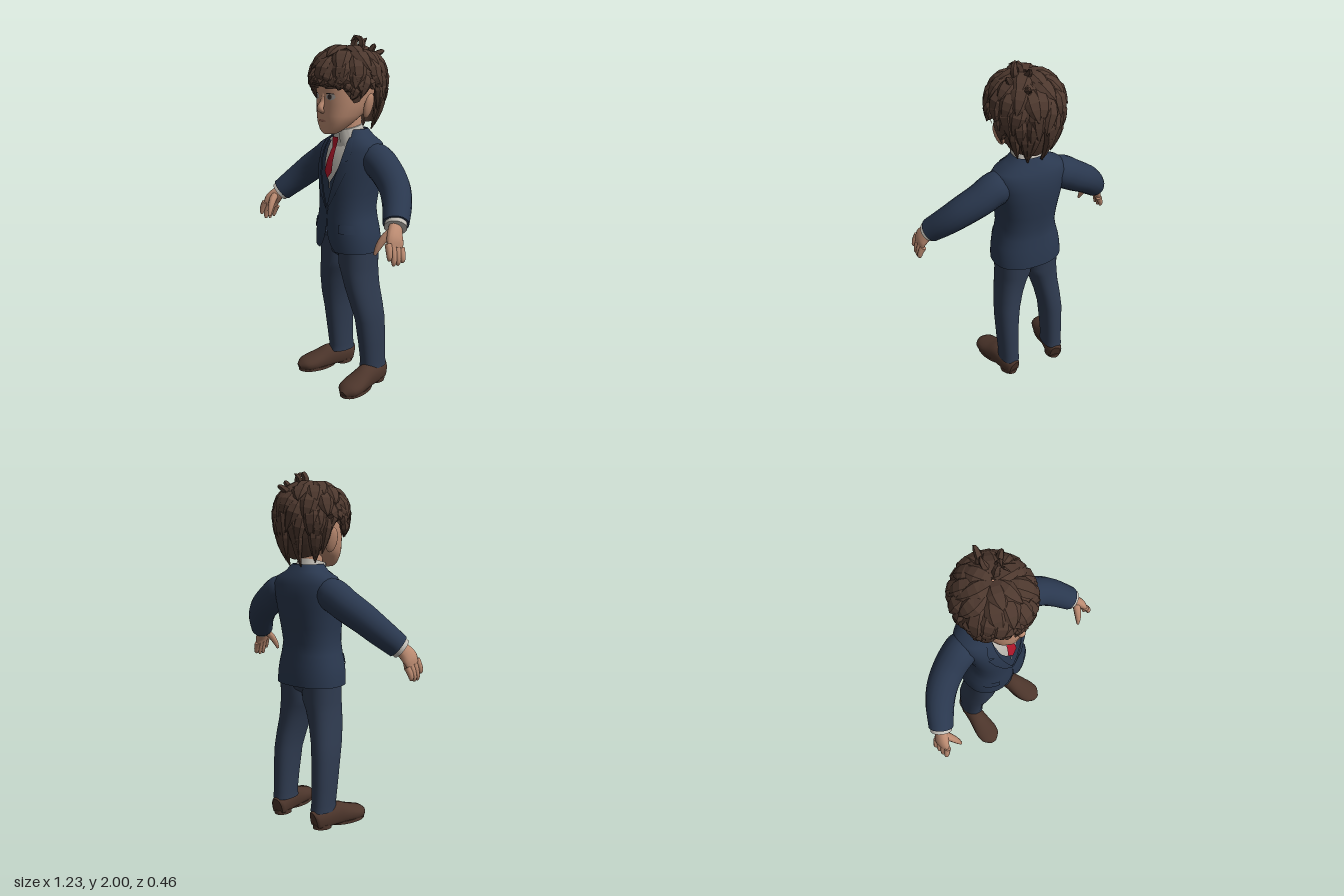
import * as THREE from 'three';
import { mergeGeometries } from 'three/addons/utils/BufferGeometryUtils.js';

const V = (x, y, z) => new THREE.Vector3(x, y, z);
const { lerp } = THREE.MathUtils;
const P = 0.85; // squareness of the body cross-sections

// Skin a list of point rings; rings run counter-clockwise about the loft direction
function grid(rings, closed = true, caps = true) {
  const n = rings[0].length, pos = [], idx = [];
  rings.forEach(r => r.forEach(p => pos.push(p.x, p.y, p.z)));
  for (let i = 0; i < rings.length - 1; i++)
    for (let j = 0; j < (closed ? n : n - 1); j++) {
      const k = (j + 1) % n, a = i * n + j, b = i * n + k;
      idx.push(a, b, a + n, b, b + n, a + n);
    }
  if (closed && caps) [rings[0], rings[rings.length - 1]].forEach((r, e) => {
    const base = pos.length / 3, c = V(0, 0, 0);
    r.forEach(p => { pos.push(p.x, p.y, p.z); c.addScaledVector(p, 1 / n); });
    pos.push(c.x, c.y, c.z);
    for (let j = 0; j < n; j++) {
      const a = base + j, b = base + (j + 1) % n;
      idx.push(base + n, e ? a : b, e ? b : a);
    }
  });
  const g = new THREE.BufferGeometry();
  g.setAttribute('position', new THREE.Float32BufferAttribute(pos, 3));
  g.setIndex(idx);
  g.computeVertexNormals();
  return g;
}

// Tapered elliptical tube along a smooth path; radii are [across, along hint]
function sweep(pts, radii, hint, sides = 14, steps = 14) {
  const path = new THREE.CatmullRomCurve3(pts.map(p => V(...p)));
  const size = new THREE.CatmullRomCurve3(radii.map(r => V(r[0], r[1] ?? r[0], 0)));
  const rings = [];
  for (let i = 0; i <= steps; i++) {
    const c = path.getPoint(i / steps), r = size.getPoint(i / steps), T = path.getTangent(i / steps);
    const h = typeof hint === 'function' ? hint(c) : V(...hint);
    const side = h.cross(T).normalize(), up = T.clone().cross(side), ring = [];
    for (let j = 0; j < sides; j++) {
      const a = j / sides * Math.PI * 2;
      ring.push(c.clone().addScaledVector(side, r.x * Math.cos(a)).addScaledVector(up, r.y * Math.sin(a)));
    }
    rings.push(ring);
  }
  return grid(rings);
}

// Interpolate a table by its first column
function at(rows, y) {
  let i = 0;
  while (i < rows.length - 2 && y > rows[i + 1][0]) i++;
  const a = rows[i], b = rows[i + 1], t = THREE.MathUtils.clamp((y - a[0]) / (b[0] - a[0]), 0, 1);
  return a.map((v, k) => lerp(v, b[k], t));
}

// Body rows are [y, half width, front z, back z, front opening, centre x]
function body(rows, grow = 0, open = false, n = 36) {
  return grid(rows.map(([y, rx, zf, zb, gap = 0, cx = 0]) => {
    const w = rx + grow, d = (zf - zb) / 2 + grow, ring = [];
    const a0 = Math.asin(Math.min(1, Math.pow(gap / w, 1 / P)));
    for (let j = 0; j < n; j++) {
      const a = open ? lerp(a0, Math.PI * 2 - a0, j / (n - 1)) : j / n * Math.PI * 2;
      const s = Math.sin(a), c = Math.cos(a);
      ring.push(V(cx + w * Math.sign(s) * Math.abs(s) ** P, y, (zf + zb) / 2 + d * Math.sign(c) * Math.abs(c) ** P));
    }
    return ring;
  }), !open);
}

// Thin plate lying on the front of a body; rows are [y, x0, x1] going up
function plate(rows, spec, off) {
  return grid(rows.map(([y, x0, x1]) => {
    const [, rx, zf, zb] = at(spec, y), ring = [];
    for (let j = 0; j <= 5; j++) {
      const x = lerp(x0, x1, j / 5), s = Math.min(1, Math.abs(x) / rx) ** (1 / P);
      ring.push(V(x, y, (zf + zb) / 2 + (zf - zb) / 2 * (1 - s * s) ** (P / 2) + off));
    }
    return ring;
  }), false);
}

// Elliptical plate rows
const oval = (x, y, rx, ry) => [-1, -0.7, -0.3, 0, 0.3, 0.7, 1].map(t => {
  const w = rx * Math.sqrt(1 - t * t);
  return [y + ry * t, x - w, x + w];
});

const JACKET = [
  [0.82, 0.207, 0.148, -0.17, 0.07], [0.85, 0.206, 0.15, -0.169, 0.042], [0.89, 0.203, 0.15, -0.167, 0.018], [0.94, 0.195, 0.149, -0.162, 0.003],
  [1.0, 0.178, 0.145, -0.155, 0.001], [1.06, 0.168, 0.14, -0.15, 0.001], [1.15, 0.175, 0.14, -0.165, 0.032],
  [1.25, 0.192, 0.133, -0.18, 0.065], [1.33, 0.203, 0.115, -0.185, 0.085], [1.39, 0.212, 0.09, -0.177, 0.09],
  [1.43, 0.192, 0.068, -0.162, 0.085], [1.46, 0.13, 0.05, -0.142, 0.08], [1.5, 0.088, 0.04, -0.118, 0.07]];
const COLLAR = [[1.38, 0.1, 0.075, -0.11], [1.44, 0.087, 0.066, -0.105], [1.515, 0.074, 0.05, -0.098]];
const HEAD = [
  [1.48, 0.035, 0.153, 0.085], [1.5, 0.067, 0.164, 0.05], [1.54, 0.103, 0.167, -0.005], [1.58, 0.122, 0.17, -0.065],
  [1.64, 0.14, 0.166, -0.12], [1.72, 0.148, 0.166, -0.15], [1.8, 0.145, 0.155, -0.15], [1.87, 0.11, 0.11, -0.12], [1.91, 0.04, 0.04, -0.05]];
const LEG = [
  [0.1, 0.06, 0.01, -0.158, 0, 0.152], [0.14, 0.057, 0.006, -0.153, 0, 0.152], [0.25, 0.061, 0.02, -0.15, 0, 0.152],
  [0.4, 0.066, 0.042, -0.145, 0, 0.149], [0.5, 0.071, 0.068, -0.135, 0, 0.137], [0.6, 0.079, 0.088, -0.125, 0, 0.117],
  [0.68, 0.09, 0.096, -0.125, 0, 0.1], [0.73, 0.101, 0.098, -0.128, 0, 0.086], [0.88, 0.105, 0.095, -0.135, 0, 0.083]];
// Hairline height by angle from the front, in degrees
const HAIRLINE = [[0, 1.75], [45, 1.725], [63, 1.65], [74, 1.66], [84, 1.73], [103, 1.72], [113, 1.59], [125, 1.55], [180, 1.525]];

// Point on the hair mass: az around the head, t from crown (0) to hairline (1)
function hairAt(az, t, s) {
  const deg = Math.abs(Math.atan2(Math.sin(az), Math.cos(az))) * 180 / Math.PI;
  const low = t > 0.5, dy = low ? (at(HAIRLINE, deg)[1] - 1.78) * (t - 0.5) * 2 : 0.165 * Math.cos(Math.PI * t) * s;
  const f = s * (low ? 1 - 0.34 * (dy / 0.26) ** 2 : Math.sin(Math.PI * t));
  return [0.2 * f * Math.sin(az), 1.78 + dy, -0.01 + 0.213 * f * Math.cos(az)];
}

function hairGeometry() {
  let seed = 7;
  const rnd = () => (seed = (seed * 16807) % 2147483647) / 2147483647;
  const normal = c => V(c.x, c.y - 1.74, c.z);
  const cap = [];
  for (let i = 0; i <= 14; i++) {
    const ring = [];
    for (let j = 0; j < 40; j++) ring.push(V(...hairAt(j / 40 * Math.PI * 2, 1 - i / 14 * 0.99, 0.94)));
    cap.push(ring);
  }
  const parts = [grid(cap, true, false)];
  // Overlapping layers of chunky locks: [count, start, end, width]
  [[6, 0.02, 0.3, 0.052], [9, 0.13, 0.44, 0.054], [12, 0.25, 0.6, 0.05], [14, 0.36, 0.76, 0.044], [18, 0.48, 0.9, 0.037], [24, 0.6, 1.04, 0.028]]
    .forEach(([n, t0, t1, w], layer) => {
      for (let i = 0; i < n; i++) {
        const az = (i + 0.5 * (layer % 2) + 0.5 * rnd()) / n * Math.PI * 2, turn = -0.3 + 0.5 * rnd();
        const end = t1 + 0.12 * (rnd() - 0.5), flick = 1.0 + 0.09 * rnd();
        const pts = [0.89, 0.965, 0.99, flick].map((s, k) => hairAt(az + turn * k / 3, lerp(t0, end, k / 3), s));
        parts.push(sweep(pts, [[w * 0.6, 0.014], [w, 0.023], [w * 0.8, 0.019], [0.003, 0.002]], normal, 6, 5));
      }
    });
  // Loose strands standing up at the crown
  [[[0.03, 1.92, -0.02], [0.035, 1.965, -0.02], [0.05, 1.99, -0.02], [0.07, 1.97, 0.03]],
   [[0.06, 1.92, -0.04], [0.075, 1.955, -0.04], [0.07, 1.985, -0.03], [0.05, 1.996, 0.0]],
   [[0.02, 1.9, -0.05], [0.02, 1.94, -0.075], [0.02, 1.97, -0.1], [0.03, 1.985, -0.115]],
   [[0.09, 1.88, -0.06], [0.11, 1.915, -0.07], [0.13, 1.945, -0.08], [0.135, 1.955, -0.08]],
   [[0.05, 1.87, -0.12], [0.06, 1.9, -0.16], [0.07, 1.915, -0.19], [0.07, 1.915, -0.205]]]
    .forEach(p => parts.push(sweep(p, [[0.024], [0.02], [0.014], [0.002]], [0.3, 0.1, 1], 5, 6)));
  const g = mergeGeometries(parts).toNonIndexed(); // separate faces give faceted locks
  g.computeVertexNormals();
  return g;
}

function shoeGeometry() {
  // Rows are [z, half width, height]
  const rows = [[-0.158, 0.032, 0.105], [-0.145, 0.045, 0.112], [-0.08, 0.054, 0.125], [0, 0.058, 0.13],
    [0.06, 0.066, 0.108], [0.12, 0.073, 0.088], [0.17, 0.064, 0.072], [0.207, 0.024, 0.042]];
  const g = sweep(rows.map(r => [0, r[2] / 2, r[0]]), rows.map(r => [r[1], r[2] / 2]), [0, 1, 0], 20, 20);
  const p = g.attributes.position;
  for (let i = 0; i < p.count; i++) { // straighten the side walls down to a flat bottom
    const x = p.getX(i), y = p.getY(i), row = at(rows, p.getZ(i));
    if (y < row[2] / 2 && Math.abs(x) > 0.005) p.setX(i, Math.sign(x) * lerp(Math.abs(x), row[1], 0.6));
    p.setY(i, Math.max(0.014, y));
  }
  g.computeVertexNormals();
  return g;
}

function soleGeometry(z0, z1, w, h) {
  const ring = y => Array.from({ length: 24 }, (_, j) => {
    const a = j / 24 * Math.PI * 2;
    return V(w * Math.sin(a) * (1 + 0.12 * Math.cos(a)), y, (z0 + z1) / 2 + (z1 - z0) / 2 * Math.cos(a));
  });
  return grid([ring(0), ring(h)]);
}

function mirrored(geo) {
  const g = geo.clone().scale(-1, 1, 1), ix = g.index.array;
  for (let i = 0; i < ix.length; i += 3) [ix[i], ix[i + 1]] = [ix[i + 1], ix[i]];
  g.computeVertexNormals();
  return g;
}

export function createModel() {
  const root = new THREE.Group();
  root.name = 'suitedFigure';
  const mats = {};
  Object.entries({ suit: 0x2a384f, trousers: 0x2f3b50, shirt: 0xc2beb6, tie: 0xb3172b, skin: 0xbd8c72,
    hair: 0x4d382e, shoeLeather: 0x4c352b, eyeWhite: 0xa9a09a, iris: 0x3a302e, lip: 0x9c6857 })
    .forEach(([name, color]) => {
      mats[name] = new THREE.MeshStandardMaterial({ color, side: THREE.DoubleSide });
      mats[name].name = name;
    });
  const add = (name, geo, mat) => {
    const m = new THREE.Mesh(geo, mats[mat]);
    m.name = name;
    root.add(m);
  };
  const pair = (name, geo, mat) => {
    add(name + 'Left', geo, mat);
    add(name + 'Right', mirrored(geo), mat);
  };

  // Head and face
  add('head', body(HEAD), 'skin');
  add('neck', body([[1.4, 0.065, 0.045, -0.085], [1.58, 0.062, 0.05, -0.08]]), 'skin');
  add('nose', sweep([[0, 1.705, 0.152], [0, 1.655, 0.166], [0, 1.618, 0.183], [0, 1.597, 0.165]],
    [[0.016, 0.013], [0.015, 0.012], [0.021, 0.017], [0.014, 0.008]], [0, 0, 1]), 'skin');
  add('lips', plate([[1.547, -0.014, 0.014], [1.553, -0.034, 0.034], [1.559, -0.018, 0.018]], HEAD, 0.004), 'lip');
  pair('eye', plate(oval(0.06, 1.682, 0.028, 0.018), HEAD, 0.003), 'eyeWhite');
  pair('iris', plate(oval(0.058, 1.682, 0.013, 0.015), HEAD, 0.006), 'iris');
  pair('eyelid', plate([[1.697, 0.034, 0.088], [1.702, 0.04, 0.082]], HEAD, 0.007), 'iris');
  pair('eyebrow', plate([[1.724, 0.028, 0.1], [1.738, 0.032, 0.095]], HEAD, 0.007), 'hair');
  pair('ear', new THREE.SphereGeometry(1, 14, 10).scale(0.018, 0.07, 0.036).rotateZ(-0.28).rotateY(0.3)
    .translate(0.158, 1.632, -0.022), 'skin');
  add('hair', hairGeometry(), 'hair');

  // Shirt, collar sloping down to the front, and tie
  const tilt = g => g.translate(0, -1.45, 0.02).rotateX(0.22).translate(0, 1.45, -0.02);
  add('shirt', body(JACKET.slice(4, 12), -0.022), 'shirt');
  add('collar', tilt(body(COLLAR)), 'shirt');
  pair('collarPoint', tilt(plate([[1.42, 0.055, 0.06], [1.45, 0.022, 0.075], [1.515, 0.008, 0.06]], COLLAR, 0.006)), 'shirt');
  add('tieKnot', plate([[1.4, -0.015, 0.015], [1.445, -0.027, 0.027], [1.458, -0.022, 0.022]], COLLAR, 0.02), 'tie');
  add('tie', plate([[1.235, -0.002, 0.002], [1.27, -0.032, 0.032], [1.33, -0.026, 0.026], [1.39, -0.018, 0.018], [1.42, -0.013, 0.013]],
    JACKET, 0.006), 'tie');

  // Waistcoat and jacket
  add('waistcoat', body([0.95, 1.06, 1.15, 1.21, 1.25, 1.3, 1.33, 1.39, 1.43].map((y, i) => {
    const r = at(JACKET, y);
    r[4] = [0, 0, 0, 0.002, 0.035, 0.06, 0.067, 0.076, 0.075][i];
    return r;
  }), -0.011, true), 'suit');
  add('jacket', body(JACKET, 0, true, 48), 'suit');
  pair('lapel', plate([[1.06, 0, 0.008], [1.15, 0.03, 0.07], [1.25, 0.063, 0.115], [1.325, 0.083, 0.142], [1.335, 0.084, 0.11],
    [1.345, 0.085, 0.135], [1.39, 0.088, 0.135], [1.43, 0.083, 0.118], [1.46, 0.078, 0.1]], JACKET, 0.008), 'suit');
  pair('pocketFlap', plate([[0.935, 0.1, 0.178], [0.985, 0.098, 0.168]], JACKET, 0.008), 'suit');
  add('button', new THREE.SphereGeometry(0.01, 10, 8).scale(1, 1, 0.5).translate(0, 1.06, 0.142), 'suit');

  // Arms and hands
  pair('sleeve', sweep([[0.12, 1.345, -0.06], [0.195, 1.337, -0.056], [0.285, 1.285, -0.048], [0.38, 1.222, -0.018], [0.45, 1.158, 0.026], [0.525, 1.075, 0.1]],
    [[0.07], [0.093], [0.089], [0.084], [0.078], [0.068]], [0, 0, 1], 18, 24), 'suit');
  pair('cuff', sweep([[0.5, 1.103, 0.073], [0.537, 1.06, 0.113]], [[0.056], [0.059]], [0, 0, 1], 16, 2), 'shirt');
  const hand = [
    sweep([[0.515, 1.085, 0.09], [0.548, 1.045, 0.125], [0.57, 1.01, 0.145], [0.582, 0.975, 0.155]],
      [[0.033, 0.028], [0.046, 0.031], [0.054, 0.028], [0.052, 0.019]], [1, 0, 0]),
    sweep([[0.545, 1.05, 0.14], [0.522, 1.01, 0.178], [0.507, 0.965, 0.203], [0.498, 0.928, 0.216]],
      [[0.024], [0.021], [0.016], [0.008]], [1, 0, 0], 8, 8)];
  for (let i = 0; i < 4; i++) { // index finger to little finger
    const y = 1.0 - 0.012 * i, z = 0.197 - 0.029 * i, len = [0.08, 0.1, 0.09, 0.07][i];
    hand.push(sweep([[0.578, y, z], [0.592, y - len * 0.4, z + 0.006], [0.6, y - len * 0.8, z + 0.01], [0.598, y - len, z + 0.011]],
      [[0.018], [0.017], [0.014], [0.007]], [1, 0, 0], 8, 8));
  }
  pair('hand', mergeGeometries(hand), 'skin');

  // Trousers and shoes
  pair('trouserLeg', body(LEG), 'trousers');
  add('trouserSeat', body([[0.735, 0.03, 0.02, -0.05], [0.79, 0.15, 0.085, -0.12], [0.83, 0.18, 0.096, -0.135], [0.9, 0.18, 0.1, -0.135]]), 'trousers');
  const place = g => g.rotateY(0.2).translate(0.178, 0, 0);
  pair('shoe', place(shoeGeometry()), 'shoeLeather');
  pair('sole', place(soleGeometry(-0.04, 0.208, 0.066, 0.018)), 'shoeLeather');
  pair('heel', place(soleGeometry(-0.155, -0.04, 0.05, 0.025)), 'shoeLeather');
  return root;
}
